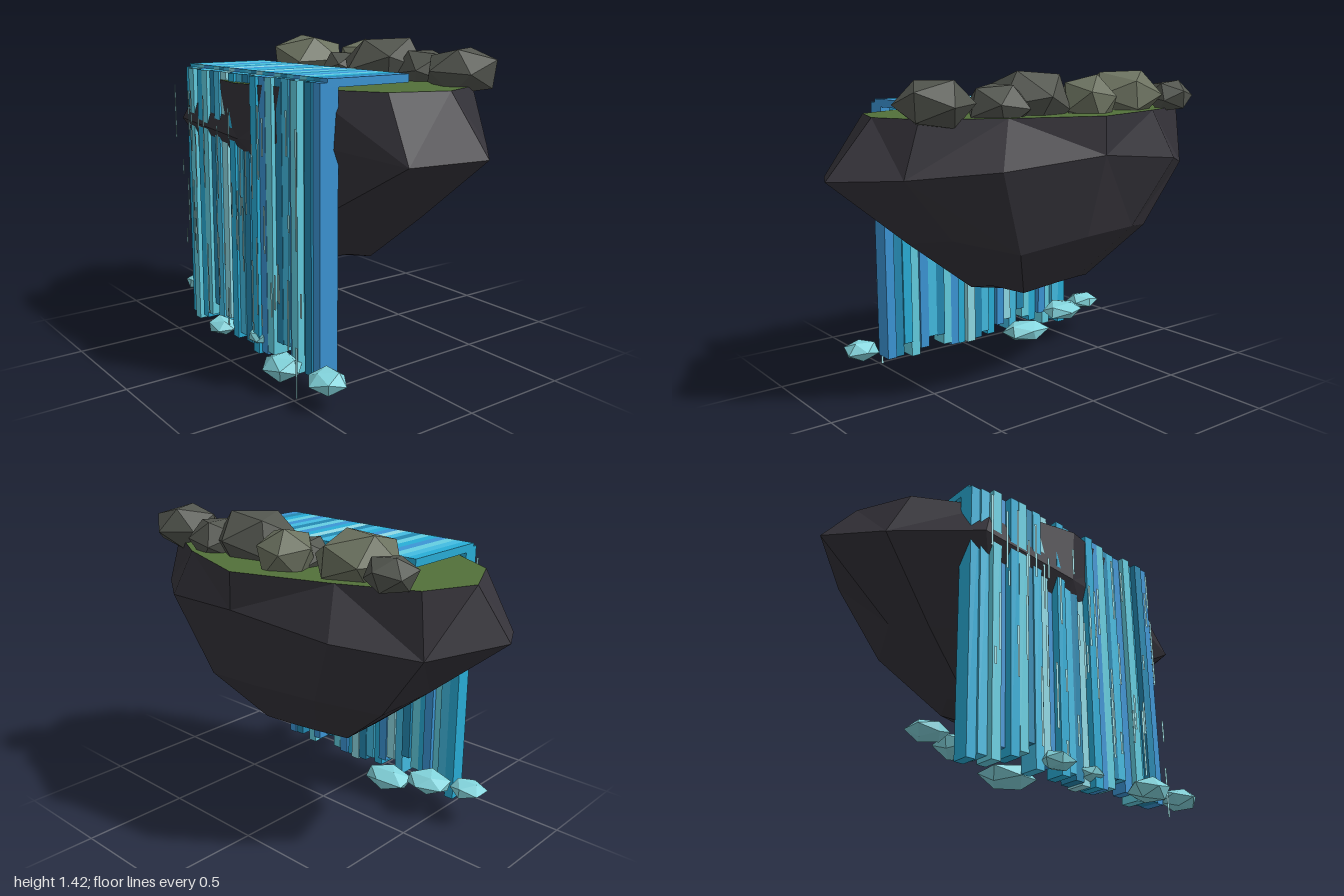
import * as THREE from 'three';

// Small seeded generator, values 0..1
function seeded(seed) {
  let s = seed;
  return () => {
    s = (s * 16807) % 2147483647;
    return s / 2147483647;
  };
}

const flat = (color, side = THREE.FrontSide) =>
  new THREE.MeshStandardMaterial({ color, flatShading: true, side });

function addMesh(parent, name, geometry, material, x = 0, y = 0, z = 0) {
  const mesh = new THREE.Mesh(geometry, material);
  mesh.name = name;
  mesh.position.set(x, y, z);
  parent.add(mesh);
  return mesh;
}

// Low-poly stone: corners pushed in and out by a rule on position, so shared corners stay together
function stone(seed, amount) {
  const geometry = new THREE.IcosahedronGeometry(1);
  geometry.rotateY(seed * 0.9).rotateZ(seed * 0.7);
  const p = geometry.attributes.position;
  const v = new THREE.Vector3();
  for (let i = 0; i < p.count; i++) {
    v.fromBufferAttribute(p, i);
    const h = Math.sin(v.x * 12.9 + v.y * 37.7 + v.z * 71.3 + seed * 5.1);
    v.multiplyScalar(1 + amount * h);
    p.setXYZ(i, v.x, v.y, v.z);
  }
  geometry.computeVertexNormals();
  return geometry;
}

function fromTriangles(points) {
  const g = new THREE.BufferGeometry().setFromPoints(points);
  g.computeVertexNormals();
  return g;
}

// Cross-sections of the island, twelve corners each, from +x round through +z
function islandRings() {
  const v = (x, y, z) => new THREE.Vector3(x, y, z);
  const rim = [[0.79, -0.04], [0.7, 0.2], [0.4, 0.37], [0, 0.455], [-0.41, 0.37], [-0.72, 0.2],
    [-0.84, -0.04], [-0.74, -0.26], [-0.43, -0.4], [0, -0.55], [0.4, -0.42], [0.7, -0.25]]
    .map(([x, z]) => v(x, 1.24, z));
  const belly = [[1, 1, -0.04], [0.87, 0.98, 0.24], [0.5, 1.02, 0.355], [0, 1, 0.44], [-0.5, 1.04, 0.44], [-0.85, 0.99, 0.23],
    [-1, 1.04, -0.04], [-0.77, 0.97, -0.27], [-0.48, 1.03, -0.49], [0, 1.08, -0.555], [0.47, 1.04, -0.48], [0.78, 1.01, -0.26]]
    .map(c => v(...c));
  const oval = (rx, front, back, y, wave) => rim.map((_, i) => {
    const a = i * Math.PI / 6, s = Math.sin(a);
    return v(rx * Math.cos(a), y + wave * Math.sin(i * 2.4), -0.04 + s * (s > 0 ? front : back));
  });
  return [rim, belly, oval(0.64, 0.36, 0.41, 0.71, 0.035), oval(0.32, 0.18, 0.2, 0.47, 0.02)];
}

function addIsland(group) {
  const rings = islandRings();
  const tip = new THREE.Vector3(0, 0.405, -0.035);
  const middle = new THREE.Vector3(0, 1.24, -0.04);
  const rock = [], grass = [];
  for (let i = 0; i < 12; i++) {
    const j = (i + 1) % 12;
    for (let r = 0; r < 3; r++) {
      const a = rings[r][i], b = rings[r][j], c = rings[r + 1][i], d = rings[r + 1][j];
      if ((i + r) % 2) rock.push(a, b, c, b, d, c);
      else rock.push(a, b, d, a, d, c);
    }
    rock.push(tip, rings[3][i], rings[3][j]);
    grass.push(middle, rings[0][j], rings[0][i]);
  }
  addMesh(group, 'islandRock', fromTriangles(rock), flat(0x35333a));
  addMesh(group, 'grassTop', fromTriangles(grass), flat(0x52703a));
}

// Boulders along the back of the grass: x, y, z, radius, height scale, light or dark
function addBoulders(group) {
  const dark = flat(0x53564f), light = flat(0x6c7260);
  [
    [-0.63, 1.295, -0.31, 0.11, 0.7, dark],
    [-0.4, 1.3, -0.23, 0.195, 0.64, light],
    [-0.1, 1.29, -0.33, 0.135, 0.85, light],
    [-0.12, 1.27, -0.22, 0.105, 0.85, dark],
    [0.17, 1.3, -0.235, 0.195, 0.72, dark],
    [0.36, 1.28, -0.3, 0.14, 0.75, dark],
    [0.63, 1.295, -0.25, 0.165, 0.65, dark],
  ].forEach(([x, y, z, r, sy, material], i) => {
    addMesh(group, 'boulder', stone(i + 2, 0.05), material, x, y, z).scale.set(r, r * sy, r);
  });
}

function addWaterfall(group) {
  const rand = seeded(77);
  const shades = [0x29aed8, 0x64cfe2, 0x2489b2, 0x43bce2, 0x90dbe6, 0x3c96d6].map(c => flat(c));
  const pattern = [0, 3, 1, 5, 0, 1, 2, 3, 4, 5, 0, 3, 2, 4, 0, 5, 1, 2, 3, 5, 1, 0, 2, 5];
  const n = pattern.length, w = 1.09 / n;
  pattern.forEach((shade, i) => {
    const x = -0.542 + (i + 0.5) * w;
    // Flat stream over the grass
    addMesh(group, 'streamStrip', new THREE.BoxGeometry(w, 0.035, 0.41), shades[shade], x, 1.2725, 0.165);
    // Falling strip, uneven in depth and length
    const last = i === n - 1;
    const bottom = last ? 0.08 : 0.06 + 0.12 * rand();
    const front = last ? 0.405 : 0.385 + 0.05 * rand();
    const back = last ? 0.317 : Math.max(0.317, front - 0.09);
    addMesh(group, 'fallStrip', new THREE.BoxGeometry(w, 1.275 - bottom, front - back),
      shades[shade], x, (1.275 + bottom) / 2, (front + back) / 2);
  });

  // Thin spray slivers in front of the fall
  const spray = flat(0xa4e4ea, THREE.DoubleSide);
  for (let i = 0; i < 44; i++) {
    const h = 0.07 + 0.28 * rand();
    const x = -0.5 + 1.02 * ((i + rand()) / 44);
    const y = 0.13 + h / 2 + (1.07 - h) * rand();
    addMesh(group, 'spraySliver', new THREE.PlaneGeometry(0.012, h), spray, x, y, 0.45 + 0.045 * rand());
  }
  addMesh(group, 'spraySliver', new THREE.PlaneGeometry(0.012, 0.22), spray, 0.49, 0.11, 0.48);
}

// Foam clumps at the foot: x, y, z, half sizes
function addFoam(group) {
  const foam = flat(0x84d6de);
  [
    [-0.64, 0.165, 0.29, 0.09, 0.04, 0.08],
    [-0.46, 0.155, 0.24, 0.12, 0.05, 0.09],
    [-0.21, 0.09, 0.24, 0.13, 0.05, 0.09],
    [-0.14, 0.115, 0.455, 0.08, 0.04, 0.065],
    [0.1, 0.125, 0.4, 0.07, 0.035, 0.06],
    [0.38, 0.1, 0.47, 0.1, 0.055, 0.085],
    [0.63, 0.115, 0.43, 0.085, 0.05, 0.08],
  ].forEach(([x, y, z, sx, sy, sz], i) => {
    addMesh(group, 'foamClump', stone(i, 0.08), foam, x, y, z).scale.set(sx, sy, sz);
  });
}

export function createModel() {
  const model = new THREE.Group();
  model.name = 'floatingIslandWaterfall';
  for (const [name, build] of [['island', addIsland], ['boulders', addBoulders],
    ['waterfall', addWaterfall], ['foam', addFoam]]) {
    const part = new THREE.Group();
    part.name = name;
    build(part);
    model.add(part);
  }
  return model;
}
